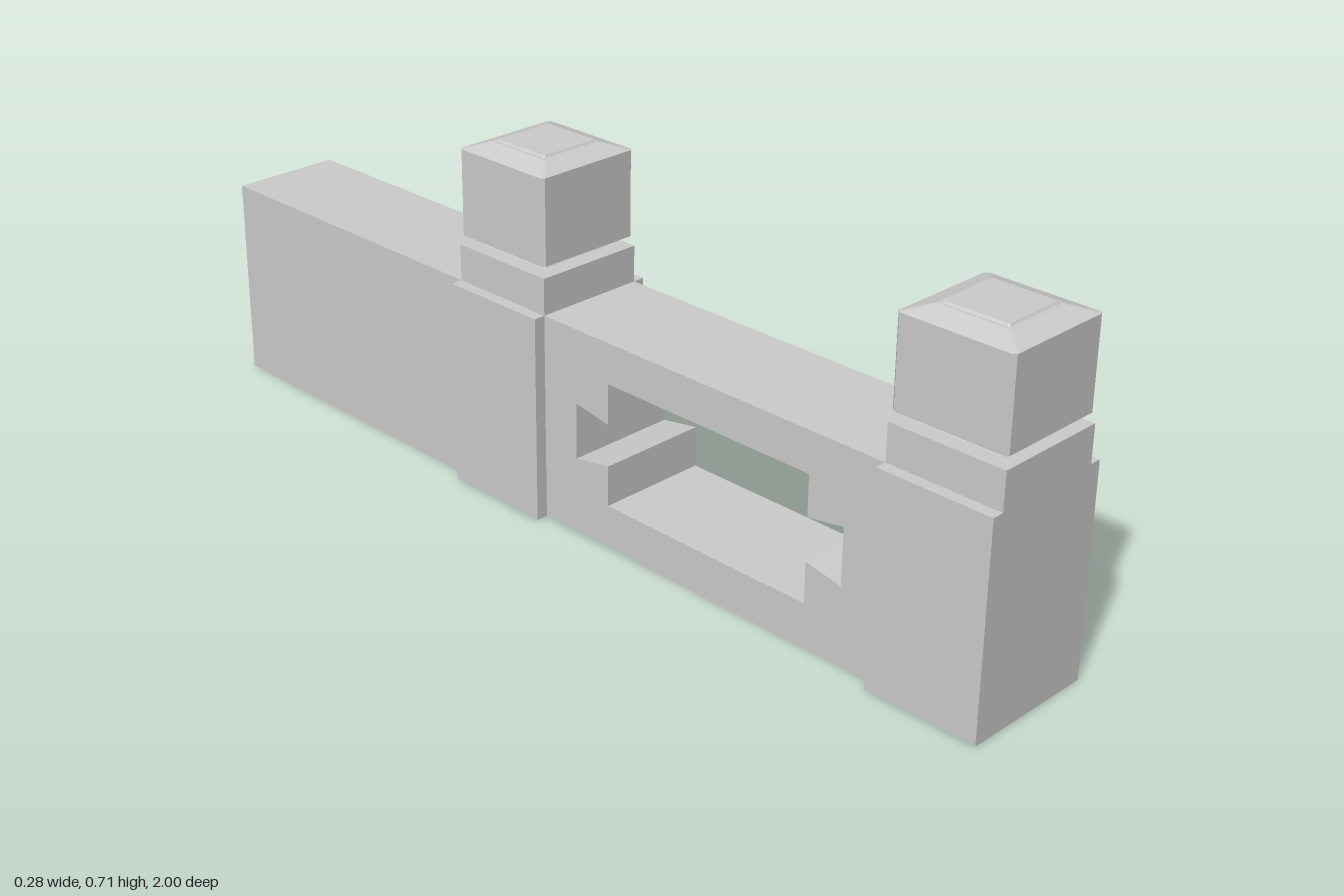
import * as THREE from 'three';

const W = 0.117, H = 0.422;        // wall half width and height
const POST_X = 0.141;              // post half width
const BLOCK_TOP = 0.496;
const POSTS = [[0.765, 1], [-0.285, -0.05]];   // z ranges of the two posts

const material = new THREE.MeshStandardMaterial({
  color: 0xcccccc, flatShading: true, side: THREE.DoubleSide,
});

function add(parent, name, geometry) {
  const mesh = new THREE.Mesh(geometry, material);
  mesh.name = name;
  parent.add(mesh);
  return mesh;
}

// Removes the triangles lying in any of the given planes, e.g. ['y', 0]
function openFaces(geometry, planes) {
  const g = geometry.index ? geometry.toNonIndexed() : geometry;
  const p = g.attributes.position, kept = [];
  const axis = { x: 0, y: 1, z: 2 };
  for (let i = 0; i < p.count; i += 3) {
    const flat = planes.some(([a, value]) => [0, 1, 2].every(
      (k) => Math.abs(p.array[(i + k) * 3 + axis[a]] - value) < 1e-4));
    if (!flat) kept.push(...p.array.slice(i * 3, i * 3 + 9));
  }
  const out = new THREE.BufferGeometry();
  out.setAttribute('position', new THREE.Float32BufferAttribute(kept, 3));
  out.computeVertexNormals();
  return out;
}

function box(x0, x1, y0, y1, z0, z1) {
  return new THREE.BoxGeometry(x1 - x0, y1 - y0, z1 - z0)
    .translate((x0 + x1) / 2, (y0 + y1) / 2, (z0 + z1) / 2);
}

// Wall span with a dovetail-ended window, hollow and open underneath
function windowSpan(z0, z1) {
  const shape = new THREE.Shape([[z0, 0], [z1, 0], [z1, H], [z0, H]]
    .map((p) => new THREE.Vector2(...p)));
  shape.holes.push(new THREE.Path([
    [0.12, 0.088], [0.605, 0.088], [0.605, 0.171], [0.685, 0.156],
    [0.685, 0.271], [0.605, 0.257], [0.605, 0.34], [0.12, 0.34],
    [0.12, 0.257], [0.035, 0.271], [0.035, 0.156], [0.12, 0.171],
  ].map((p) => new THREE.Vector2(...p))));
  const g = new THREE.ExtrudeGeometry(shape, { depth: 2 * W, bevelEnabled: false });
  g.rotateY(-Math.PI / 2).translate(W, 0, 0);
  return openFaces(g, [['y', 0], ['z', z0], ['z', z1]]);
}

// Square cap with bevels and slightly cut corners, lofted from [half, cut, y] rings
function capGeometry() {
  const rings = [
    [0.083, 0.002, 0.496], [0.077, 0.002, 0.502], [0.115, 0.006, 0.517],
    [0.115, 0.006, 0.69], [0.072, 0.003, 0.705], [0.066, 0.002, 0.705],
    [0.063, 0.002, 0.709],
  ];
  const pos = [], idx = [];
  for (const [h, c, y] of rings) {
    const d = h - c;
    for (const [x, z] of [[h, -d], [h, d], [d, h], [-d, h], [-h, d], [-h, -d], [-d, -h], [d, -h]])
      pos.push(x, y, z);
  }
  for (let r = 0; r < rings.length - 1; r++) {
    for (let k = 0; k < 8; k++) {
      const a = r * 8 + k, b = r * 8 + (k + 1) % 8;
      idx.push(a, a + 8, b, b, a + 8, b + 8);
    }
  }
  const top = (rings.length - 1) * 8;
  for (let k = 1; k < 7; k++) idx.push(top, top + k + 1, top + k);
  const g = new THREE.BufferGeometry();
  g.setAttribute('position', new THREE.Float32BufferAttribute(pos, 3));
  g.setIndex(idx);
  const flat = g.toNonIndexed();
  flat.computeVertexNormals();
  return flat;
}

export function createModel() {
  const model = new THREE.Group();
  model.name = 'wallWithPosts';

  // Hollow wall spans
  add(model, 'windowWall', windowSpan(-0.05, 0.765));
  add(model, 'rearWall', openFaces(box(-W, W, 0, H, -1, -0.285), [['y', 0], ['z', -0.285]]));
  add(model, 'frontEnd', new THREE.PlaneGeometry(2 * W, H).translate(0, H / 2, 1));

  // Posts: side pilasters, a plinth block and a cap
  POSTS.forEach(([z0, z1], i) => {
    const post = new THREE.Group();
    post.name = i === 0 ? 'frontPost' : 'middlePost';
    for (const s of [-1, 1]) {
      const xs = [s * W, s * POST_X].sort((a, b) => a - b);
      add(post, s > 0 ? 'leftPilaster' : 'rightPilaster',
        openFaces(box(...xs, 0, H, z0, z1), [['y', 0], ['x', s * W]]));
    }
    add(post, 'plinth', openFaces(box(-W, W, H, BLOCK_TOP, z0, z1), [['y', H]]));
    add(post, 'cap', capGeometry()).position.z = (z0 + z1) / 2;
    model.add(post);
  });

  return model;
}
